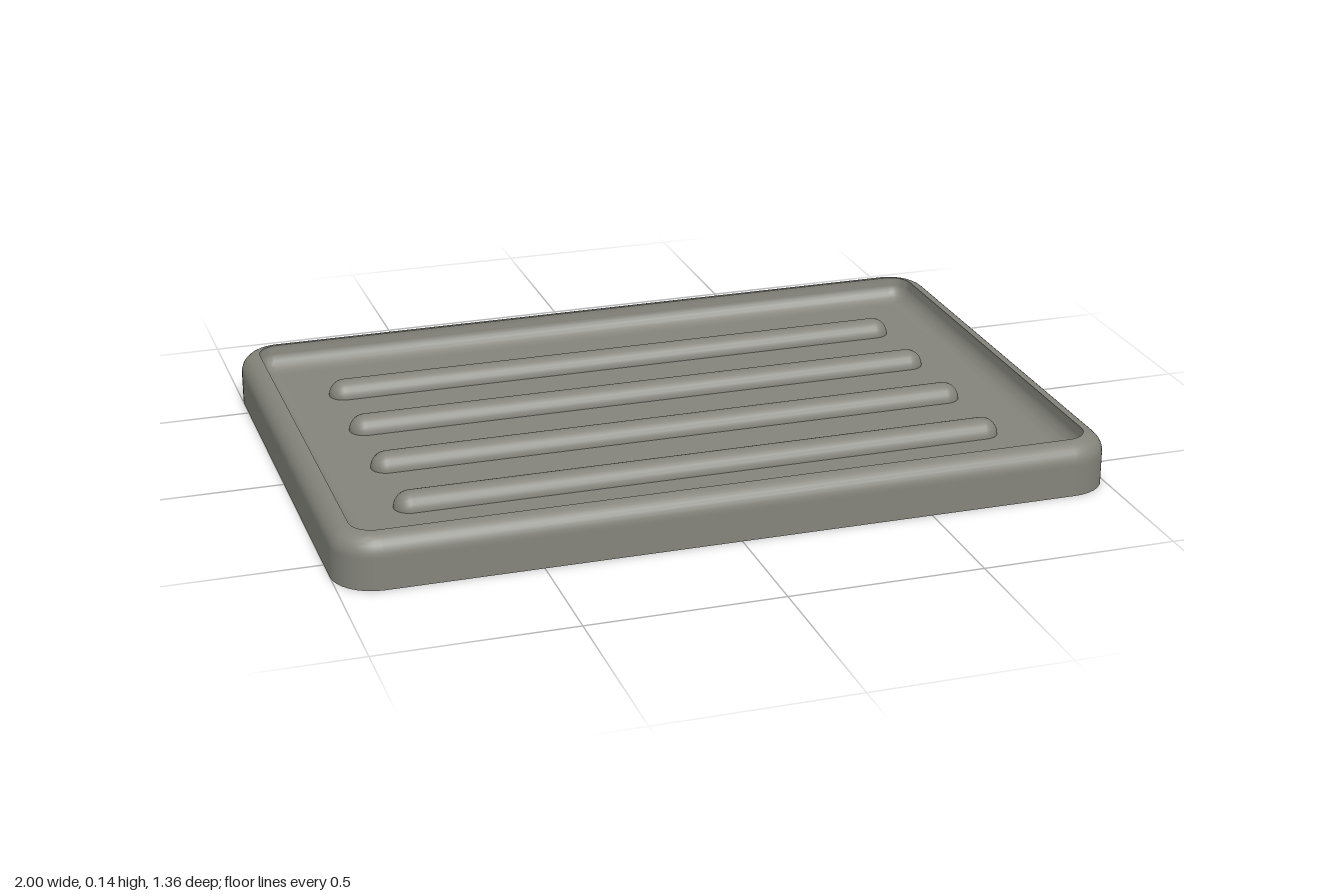
import * as THREE from 'three';
import { toCreasedNormals } from 'three/addons/utils/BufferGeometryUtils.js';

const HX = 1, HZ = 0.68, HEIGHT = 0.135, FLOOR = 0.07;
const CORNER = 0.11, EDGE = 0.05, STEPS = 8;

// Rounded-rectangle loop at height y
function ring(hx, hz, r, y) {
  const pts = [];
  const signs = [[1, 1], [-1, 1], [-1, -1], [1, -1]];
  signs.forEach(([sx, sz], c) => {
    for (let i = 0; i <= STEPS; i++) {
      const a = (c + i / STEPS) * Math.PI / 2;
      pts.push([sx * (hx - r) + r * Math.cos(a), y, sz * (hz - r) + r * Math.sin(a)]);
    }
  });
  return pts;
}

// Joins successive loops into one skin
function loft(rings) {
  const n = rings[0].length, index = [];
  for (let j = 0; j < rings.length - 1; j++) {
    for (let i = 0; i < n; i++) {
      const a = j * n + i, b = j * n + (i + 1) % n;
      index.push(a, a + n, b, b, a + n, b + n);
    }
  }
  const g = new THREE.BufferGeometry();
  g.setAttribute('position', new THREE.Float32BufferAttribute(rings.flat(2), 3));
  g.setIndex(index);
  return toCreasedNormals(g, 0.7);
}

export function createModel() {
  const group = new THREE.Group();
  group.name = 'tray';
  const grey = new THREE.MeshStandardMaterial({ color: 0x84847c });
  grey.name = 'warmGrey';

  // Tray body: underside, outer wall, rounded rim, then the recess
  const rings = [ring(0, 0, 0, 0), ring(HX, HZ, CORNER, 0), ring(HX, HZ, CORNER, HEIGHT - EDGE - 0.005)];
  for (let i = 0; i <= STEPS; i++) {
    const a = i / STEPS * Math.PI / 2, inset = EDGE * (1 - Math.cos(a));
    rings.push(ring(HX - inset, HZ - inset, CORNER - inset, HEIGHT - EDGE * (1 - Math.sin(a))));
  }
  // Recess wall with a rounded foot
  const ix = 0.952, iz = 0.632;
  rings.push(ring(ix, iz, EDGE, HEIGHT - 0.001));
  for (let i = 0; i <= STEPS; i++) {
    const a = i / STEPS * Math.PI / 2, inset = (EDGE - 0.001) * (1 - Math.cos(a));
    rings.push(ring(ix - inset, iz - inset, EDGE - inset, FLOOR + EDGE * (1 - Math.sin(a))));
  }
  // Flat floor
  rings.push(ring(ix - 0.055, iz - 0.055, 0.001, FLOOR), ring(0, 0, 0, FLOOR));
  const body = new THREE.Mesh(loft(rings), grey);
  body.name = 'trayBody';
  group.add(body);

  // Four raised drainage ribs
  const r = 0.042;
  const ribGeometry = new THREE.CapsuleGeometry(r, 1.6 - 2 * r, 8, 24).rotateZ(Math.PI / 2);
  for (let i = 0; i < 4; i++) {
    const rib = new THREE.Mesh(ribGeometry, grey);
    rib.name = 'rib' + (i + 1);
    rib.position.set(0, FLOOR, (i - 1.5) * 0.255);
    group.add(rib);
  }
  return group;
}
